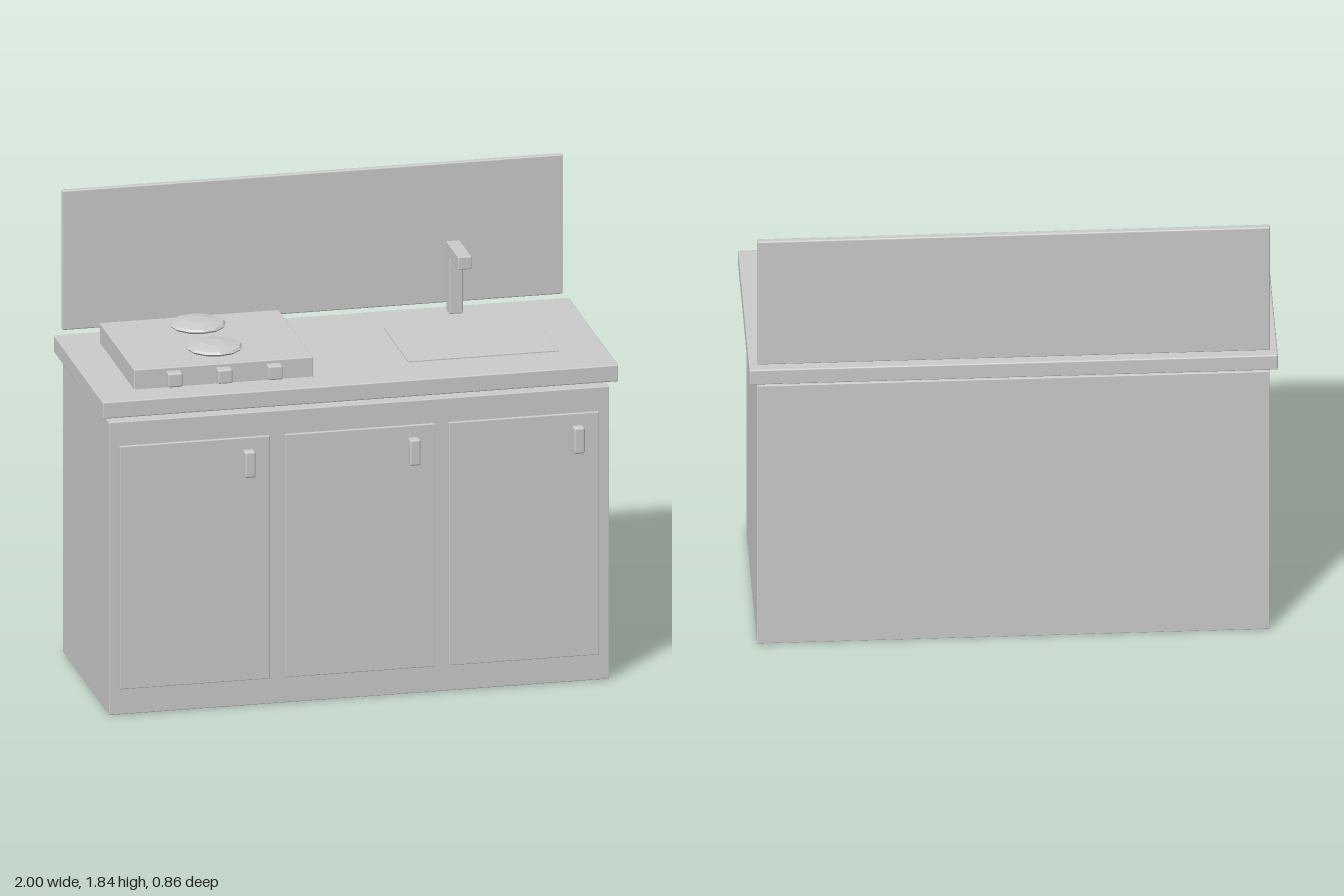
import * as THREE from 'three';
import { RoundedBoxGeometry } from 'three/addons/geometries/RoundedBoxGeometry.js';

export function createModel() {
  const kitchen = new THREE.Group();
  kitchen.name = 'kitchenUnit';
  const grey = new THREE.MeshStandardMaterial({ color: 0xcccccc });
  grey.name = 'lightGrey';

  function add(name, geometry, x, y, z) {
    const mesh = new THREE.Mesh(geometry, grey);
    mesh.name = name;
    mesh.position.set(x, y, z);
    kitchen.add(mesh);
    return mesh;
  }

  // Box given by its limits on each axis, with softened edges
  function block(name, [x0, x1], [y0, y1], [z0, z1], bevel = 0.005) {
    const geometry = new RoundedBoxGeometry(x1 - x0, y1 - y0, z1 - z0, 2, bevel);
    return add(name, geometry, (x0 + x1) / 2, (y0 + y1) / 2, (z0 + z1) / 2);
  }

  // Cabinet, worktop floating just above it, and splashback
  block('cabinet', [-0.97, 0.97], [0, 1.165], [-0.4, 0.375], 0.003);
  block('worktop', [-1, 1], [1.19, 1.256], [-0.43, 0.4]);
  block('splashback', [-0.97, 0.97], [1.28, 1.835], [-0.43, -0.405]);

  // Three doors, each with a handle near its upper corner
  for (const x of [-0.64, 0, 0.637]) {
    block('door', [x - 0.291, x + 0.291], [0.103, 1.07], [0.365, 0.386], 0.003);
    block('doorHandle', [x + 0.185, x + 0.227], [0.922, 1.026], [0.388, 0.43], 0.008);
  }

  // Hob with knobs along its front edge
  block('hob', [-0.85, -0.155], [1.25, 1.334], [-0.305, 0.275], 0.004);
  for (const x of [-0.698, -0.504, -0.309]) {
    block('hobKnob', [x - 0.028, x + 0.028], [1.265, 1.321], [0.265, 0.313], 0.007);
  }

  // Shallow domed burners with a flat centre
  const profile = [
    [0, 1.335], [0.07, 1.335], [0.1, 1.344], [0.108, 1.352],
    [0.1, 1.36], [0.04, 1.37], [0, 1.37],
  ].map(([r, y]) => new THREE.Vector2(r, y - 1.335));
  const burner = new THREE.LatheGeometry(profile, 12).toNonIndexed();
  burner.computeVertexNormals();
  for (const z of [-0.157, 0.12]) add('burner', burner, -0.504, 1.335, z);

  // Sink plate, slightly raised from the worktop
  block('sink', [0.233, 0.817], [1.225, 1.262], [-0.226, 0.193], 0.002);

  // Angular tap: upright and spout
  block('tapUpright', [0.497, 0.55], [1.28, 1.556], [-0.316, -0.262]);
  block('tapSpout', [0.497, 0.55], [1.504, 1.556], [-0.316, -0.114]);

  return kitchen;
}
